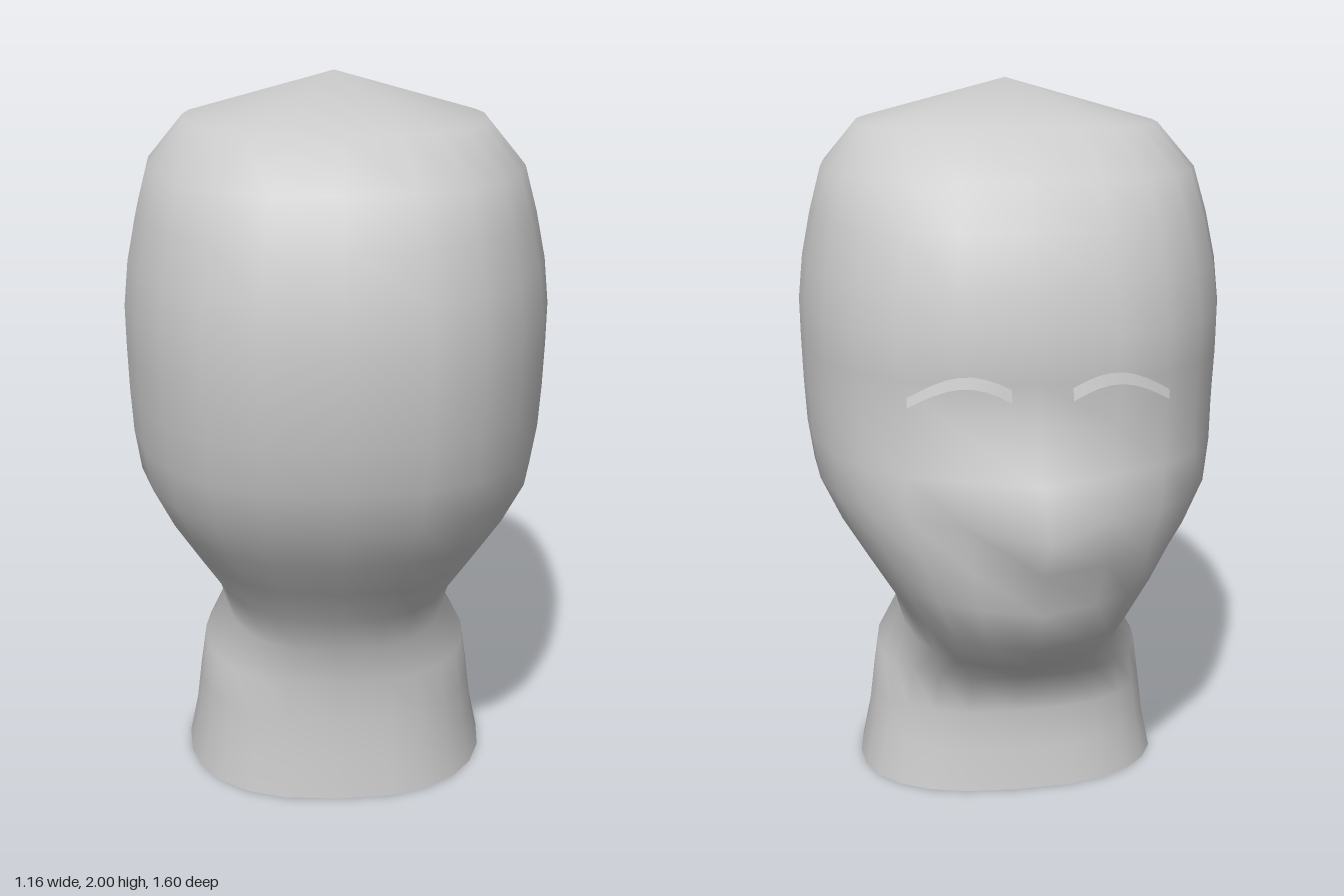
import * as THREE from 'three';

const grey = new THREE.MeshStandardMaterial({ color: 0xcccccc, side: THREE.DoubleSide });
grey.name = 'plain grey';

// Head rings: height, half width, back depth, face depth, extra depth on the centre line
const RINGS = [
  [0.00, 0.445, 0.40, 0.295, 0],
  [0.12, 0.42, 0.39, 0.28, 0],
  [0.24, 0.405, 0.385, 0.27, 0],
  [0.36, 0.387, 0.39, 0.30, 0],
  [0.475, 0.32, 0.415, 0.47, 0.01],
  [0.59, 0.35, 0.47, 0.60, 0.02],
  [0.71, 0.425, 0.56, 0.64, 0.035],
  [0.825, 0.495, 0.645, 0.655, 0.04],
  [0.945, 0.552, 0.72, 0.66, 0.14],
  [1.06, 0.568, 0.76, 0.645, 0.065],
  [1.18, 0.574, 0.785, 0.62, 0],
  [1.30, 0.577, 0.798, 0.635, 0],
  [1.41, 0.578, 0.80, 0.632, 0],
  [1.53, 0.565, 0.79, 0.61, 0],
  [1.65, 0.54, 0.755, 0.57, 0],
  [1.77, 0.507, 0.71, 0.50, 0],
  [1.885, 0.41, 0.57, 0.36, 0],
];
const SIDES = 24;
const power = (v, e) => Math.sign(v) * Math.abs(v) ** e;

function smoothMesh(name, positions, index) {
  const geo = new THREE.BufferGeometry();
  geo.setAttribute('position', new THREE.Float32BufferAttribute(positions, 3));
  geo.setIndex(index);
  geo.computeVertexNormals();
  const mesh = new THREE.Mesh(geo, grey);
  mesh.name = name;
  return mesh;
}

// Head and neck: one skin lofted through squarish ovals, open at the neck
function makeHead() {
  const positions = [], index = [];
  RINGS.forEach(([y, w, back, face, extra], i) => {
    for (let j = 0; j < SIDES; j++) {
      const a = (j / SIDES) * Math.PI * 2;
      const depth = Math.cos(a) > 0 ? back : face;
      let z = depth * power(Math.cos(a), 0.9);
      if (j === SIDES / 2) z -= extra;
      positions.push(w * power(Math.sin(a), 0.78), y, z);
      const next = (j + 1) % SIDES;
      const p = i * SIDES + j, q = i * SIDES + next;
      if (i < RINGS.length - 1) index.push(p, q, p + SIDES, q, q + SIDES, p + SIDES);
      else index.push(p, q, RINGS.length * SIDES);
    }
  });
  positions.push(0, 2, 0.01); // crown
  return smoothMesh('headAndNeck', positions, index);
}

// Eyebrow: thin arched strip standing just off the face
function makeBrow(side) {
  const positions = [], index = [], steps = 8;
  for (let i = 0; i <= steps; i++) {
    const t = i / steps;
    const x = side * (0.075 + 0.25 * t);
    const y = 1.26 + 0.055 * Math.sin(Math.PI * (0.12 + 0.88 * t));
    const z = -0.665 + 0.05 * t * t;
    const h = 0.016 - 0.004 * t;
    positions.push(x, y - h, z, x, y + h, z + 0.006);
    if (i < steps) {
      const p = i * 2;
      if (side > 0) index.push(p, p + 1, p + 2, p + 1, p + 3, p + 2);
      else index.push(p, p + 2, p + 1, p + 1, p + 2, p + 3);
    }
  }
  return smoothMesh(side > 0 ? 'eyebrowPlusX' : 'eyebrowMinusX', positions, index);
}

export function createModel() {
  const group = new THREE.Group();
  group.name = 'mannequinHead';
  group.add(makeHead(), makeBrow(1), makeBrow(-1));
  return group;
}
